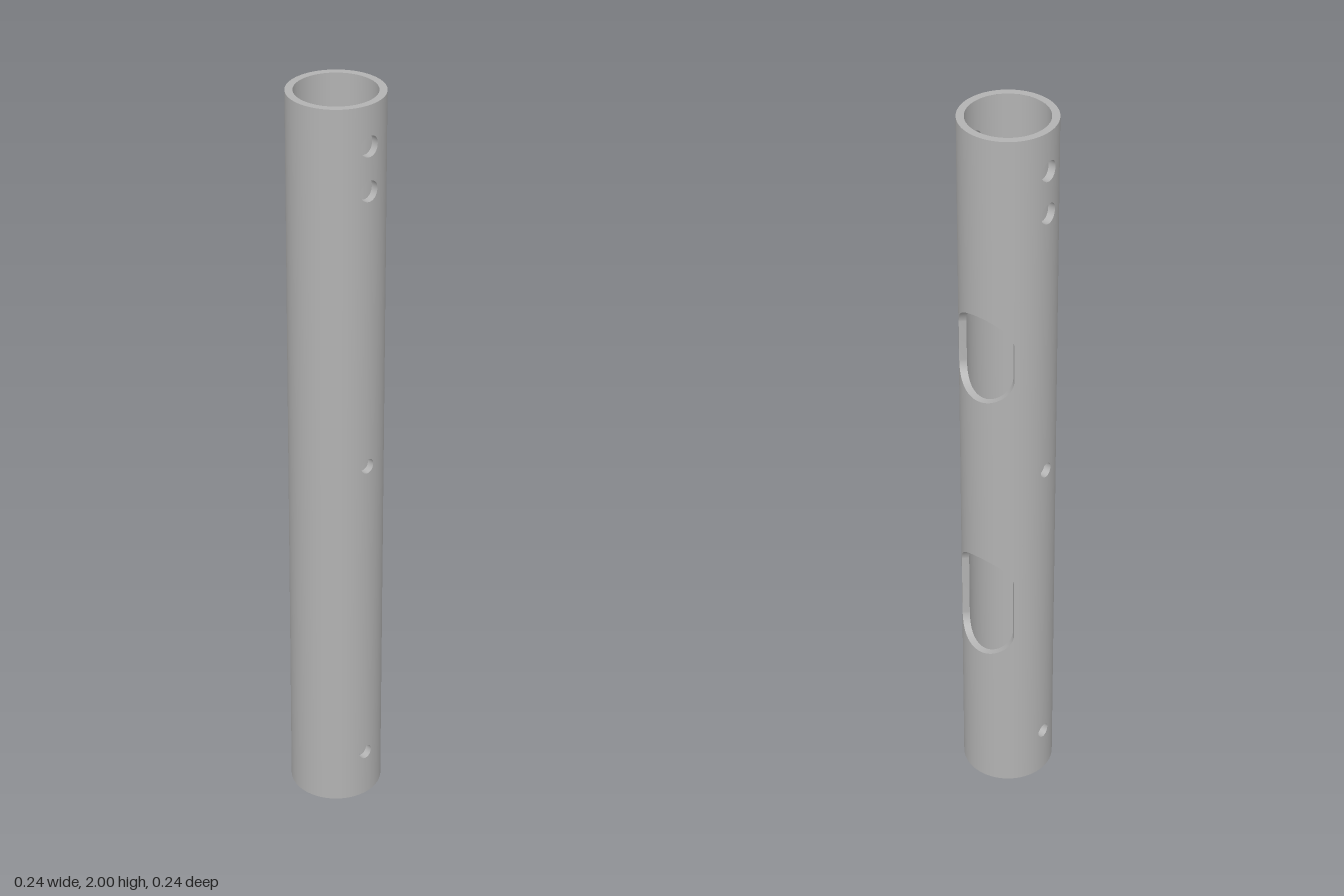
import * as THREE from 'three';
import { mergeGeometries } from 'three/addons/utils/BufferGeometryUtils.js';

const R_OUT = 0.121, R_IN = 0.102, HEIGHT = 2;
const N = 24; // segments along each side of a patch
const RAD = Math.PI / 180;

// Point on a cylinder: angle a runs from +x towards +z
const onTube = (a, y, r) => [r * Math.cos(a), y, r * Math.sin(a)];

// Indexed grid surface from fn(i, j) -> [x, y, z]
function grid(nu, nv, fn, flip) {
  const pos = [], index = [];
  for (let j = 0; j <= nv; j++) for (let i = 0; i <= nu; i++) pos.push(...fn(i, j));
  for (let j = 0; j < nv; j++) for (let i = 0; i < nu; i++) {
    const a = j * (nu + 1) + i, b = a + 1, c = a + nu + 1, d = c + 1;
    if (flip) index.push(a, c, b, b, c, d);
    else index.push(a, b, c, b, d, c);
  }
  const g = new THREE.BufferGeometry();
  g.setAttribute('position', new THREE.Float32BufferAttribute(pos, 3));
  g.setIndex(index);
  g.computeVertexNormals();
  return g;
}

// Exact radial normals so neighbouring patches shade as one cylinder
function radialNormals(g, sign) {
  const p = g.attributes.position;
  for (let i = 0; i < p.count; i++) {
    const l = Math.hypot(p.getX(i), p.getZ(i)) * sign;
    g.attributes.normal.setXYZ(i, p.getX(i) / l, 0, p.getZ(i) / l);
  }
  return g;
}

// Hole outlines: (theta, radius) -> [angle offset, y offset]
const drilled = (r) => (t, R) => [Math.asin(r * Math.cos(t) / R), r * Math.sin(t)];
const slotted = (halfHeight) => (t) => {
  const s = Math.sin(t), straight = halfHeight - 0.075;
  const side = Math.abs(s) < 1e-6 ? 0 : Math.sign(s);
  return [Math.asin(0.072 * Math.cos(t) / R_IN), 0.075 * s + side * straight];
};

// Counter-clockwise point i on the border of the square [-1, 1]
function border(i) {
  const k = Math.floor(i / N) % 4, s = (i % N) / N * 2 - 1;
  return [[s, -1], [1, s], [-s, 1], [-1, -s]][k];
}

export function createModel() {
  const steel = new THREE.MeshStandardMaterial({ color: 0xb2b2b2 });
  steel.name = 'grey steel';
  const outer = [], inner = [], walls = [];
  const skins = [[R_OUT, 1, outer], [R_IN, -1, inner]];

  function plainPatch(mid, half, y0, y1) {
    for (const [R, sign, list] of skins) {
      const f = (i, j) => onTube(mid + half * (i / N * 2 - 1), j ? y1 : y0, R);
      list.push(radialNormals(grid(N, 1, f, sign > 0), sign));
    }
  }

  function holePatch(mid, half, yc, hh, outline) {
    const theta = (i) => { const [u, v] = border(i); return Math.atan2(v, u); };
    const rows = 6;
    for (const [R, sign, list] of skins) {
      const f = (i, j) => {
        const [u, v] = border(i), [da, dy] = outline(theta(i), R), t = j / rows;
        return onTube(mid + u * half * (1 - t) + da * t, yc + v * hh * (1 - t) + dy * t, R);
      };
      list.push(radialNormals(grid(4 * N, rows, f, sign > 0), sign));
    }
    // Cut wall through the tube's thickness
    walls.push(grid(4 * N, 1, (i, j) => {
      const R = j ? R_IN : R_OUT, [da, dy] = outline(theta(i), R);
      return onTube(mid + da, yc + dy, R);
    }, true));
  }

  // A vertical sector of the tube; holes are listed from the bottom up
  function sector(midDeg, halfDeg, holes) {
    const mid = midDeg * RAD, half = halfDeg * RAD;
    let y = 0;
    for (const { yc, hh, outline } of holes) {
      plainPatch(mid, half, y, yc - hh);
      holePatch(mid, half, yc, hh, outline);
      y = yc + hh;
    }
    plainPatch(mid, half, y, HEIGHT);
  }

  const bolts = [[0.135, 0.02], [1.025, 0.02], [1.78, 0.027], [1.895, 0.027]]
    .map(([yc, r]) => ({ yc, hh: 0.05, outline: drilled(r) }));
  const slots = [[0.6, 0.16], [1.38, 0.125]]
    .map(([yc, h]) => ({ yc, hh: h + 0.06, outline: slotted(h) }));

  sector(0, 60, slots);    // left side with the two slots
  sector(90, 30, bolts);   // front bolt holes
  sector(180, 60, []);     // plain right side
  sector(270, 30, bolts);  // back bolt holes

  // Flat ring ends
  const ends = [[HEIGHT, -1], [0, 1]].map(([y, s]) =>
    new THREE.RingGeometry(R_IN, R_OUT, 144).rotateX(s * Math.PI / 2).translate(0, y, 0));

  const group = new THREE.Group();
  group.name = 'slottedTube';
  const parts = { outerSurface: outer, innerSurface: inner, holeWalls: walls, endRings: ends };
  for (const [name, list] of Object.entries(parts)) {
    const mesh = new THREE.Mesh(mergeGeometries(list), steel);
    mesh.name = name;
    group.add(mesh);
  }
  return group;
}
